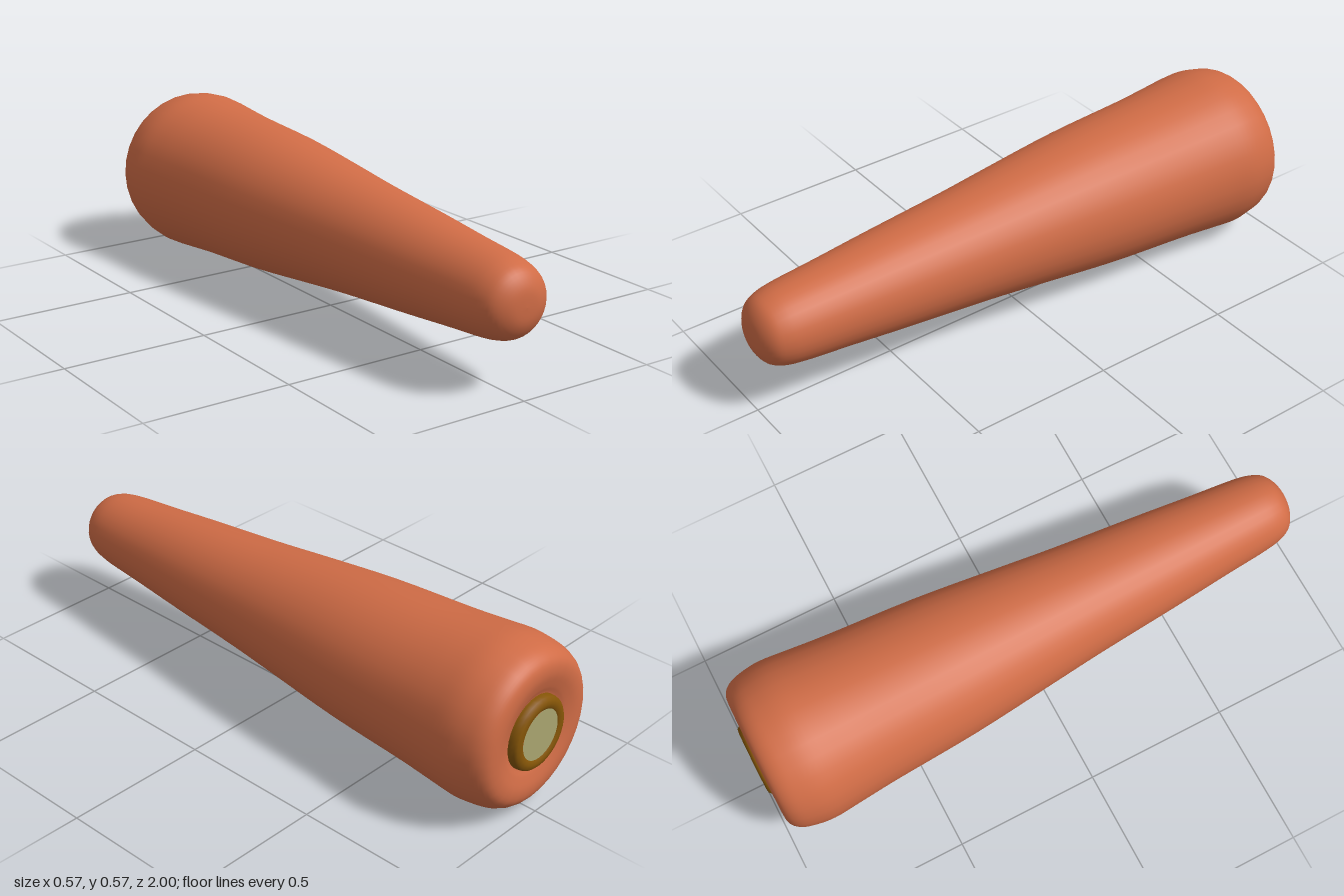
import * as THREE from 'three';

const SIDES = 32;
const material = (name, color) => {
  const m = new THREE.MeshStandardMaterial({ color });
  m.name = name;
  return m;
};

// Height of the slightly bent centre line at depth z
const axisHeight = (z) => 0.289 + 0.008 * THREE.MathUtils.smoothstep(z, -0.9, 0.1);

// Revolves [radius, z] points, listed from back to front, around the long axis
function turned(name, points, mat) {
  const profile = points.map(([r, z]) => new THREE.Vector2(r, z));
  const geometry = new THREE.LatheGeometry(profile, SIDES);
  geometry.rotateX(Math.PI / 2);
  const pos = geometry.attributes.position;
  for (let i = 0; i < pos.count; i++) pos.setY(i, pos.getY(i) + axisHeight(pos.getZ(i)));
  const mesh = new THREE.Mesh(geometry, mat);
  mesh.name = name;
  return mesh;
}

export function createModel() {
  const group = new THREE.Group();
  group.name = 'taperedHandle';
  const clay = material('terracotta', 0xd06c46);
  const bronze = material('bronze', 0x855507);
  const sage = material('sage', 0xaaa670);

  // Tapered body: dimpled back, rounded shoulder, slim rounded tip
  const outline = [
    [0, -0.965], [0.11, -0.966], [0.15, -0.978], [0.195, -0.988], [0.235, -0.982],
    [0.262, -0.955], [0.277, -0.91], [0.285, -0.84], [0.277, -0.74], [0.265, -0.6],
    [0.246, -0.3], [0.215, 0], [0.194, 0.2], [0.168, 0.5], [0.149, 0.7],
    [0.135, 0.86], [0.122, 0.93], [0.1, 0.97], [0.055, 0.995], [0, 1],
  ].map(([r, z]) => new THREE.Vector2(r, z));
  const smooth = new THREE.SplineCurve(outline).getPoints(76)
    .map((p) => [Math.max(p.x, 0), p.y]);
  group.add(turned('body', smooth, clay));

  // Rounded ring set into the back
  group.add(turned('endRing', [
    [0.08, -0.96], [0.082, -0.992], [0.09, -0.998], [0.102, -1],
    [0.115, -0.998], [0.123, -0.99], [0.126, -0.975], [0.126, -0.955],
  ].map(([r, z]) => [r, z]), bronze));

  // Flat disc inside the ring
  group.add(turned('endDisc', [[0, -0.996], [0.086, -0.996]], sage));

  // The ring and disc profiles run outward, so their faces look backward
  return group;
}
